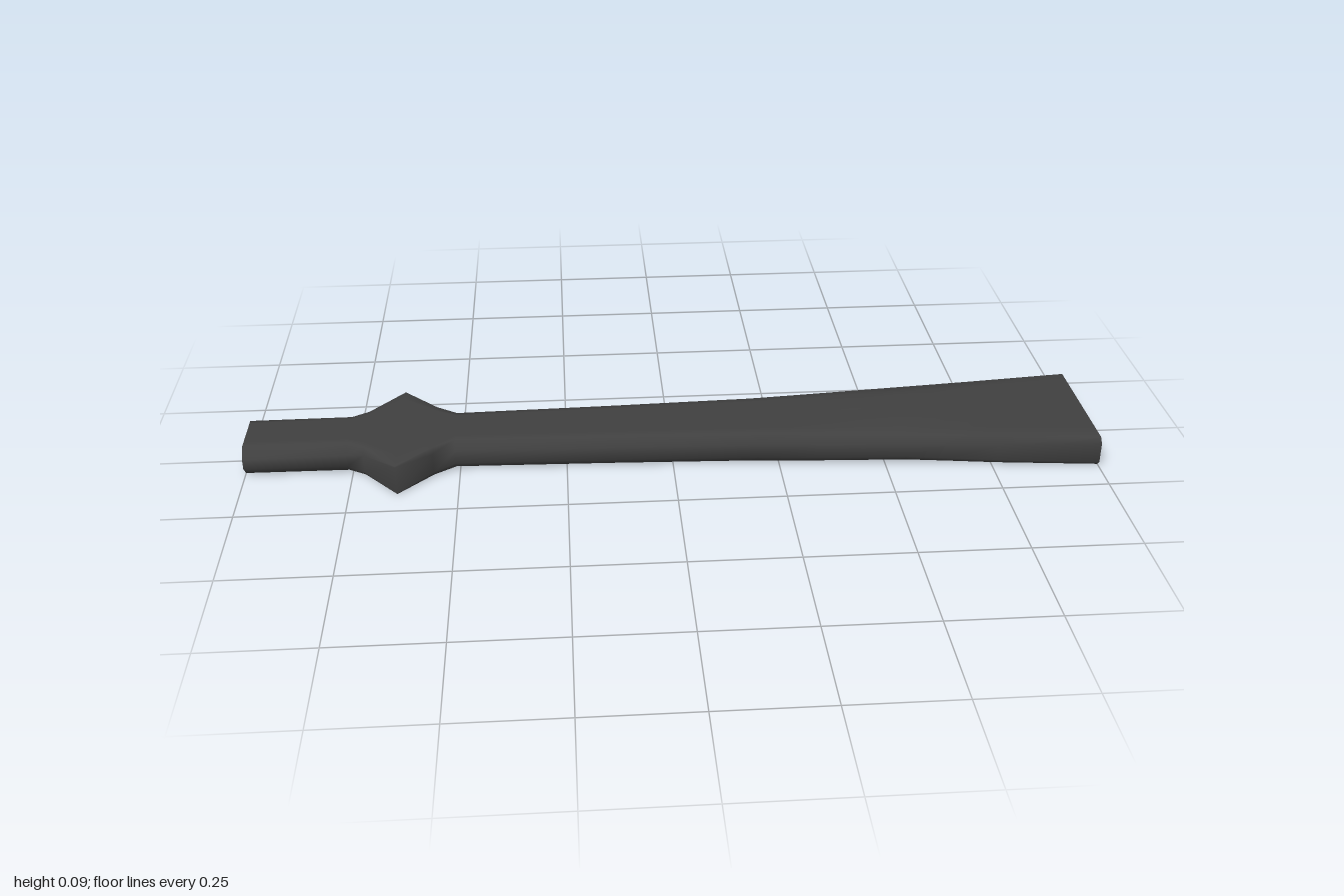
import * as THREE from 'three';

// Stations along the length: x, half width, edge chamfer, ridge strength
const STATIONS = [
  [-1, 0.084, 0.024, 0],
  [-0.76, 0.084, 0.022, 0],
  [-0.72, 0.1, 0.014, 0],
  [-0.64, 0.182, 0.002, 0],
  [-0.56, 0.11, 0.012, 0],
  [-0.51, 0.084, 0.02, 0],
  [-0.15, 0.094, 0.02, 0],
  [0.2, 0.107, 0.02, 0],
  [0.34, 0.118, 0.019, 0.15],
  [0.45, 0.127, 0.018, 0.6],
  [0.55, 0.135, 0.017, 1],
  [0.65, 0.143, 0.016, 0.6],
  [0.76, 0.152, 0.015, 0.1],
  [1, 0.173, 0.012, 0],
];
const HEIGHT = 0.073;
const Z_CENTRE = -0.003;

// Columns across the top: fraction of half width, rise at full ridge
const TOP = [[0.7, 0.003], [0.34, 0.012], [-0.12, 0.004], [-0.48, 0.012], [-0.8, 0.002]];

// Chamfered cross-section, running clockwise as seen from +x
function section([x, w, c, ridge]) {
  const base = 0.006 * ridge;
  const ring = [[w, base + c], [w, HEIGHT - c], [w - c, HEIGHT]];
  for (const [f, rise] of TOP) ring.push([f * (w - c), HEIGHT + rise * ridge]);
  ring.push([c - w, HEIGHT], [-w, HEIGHT - c], [-w, base + c], [c - w, base], [w - c, base]);
  return ring.map(([z, y]) => [x, y, z + Z_CENTRE]);
}

function geometryFrom(points, index) {
  const geometry = new THREE.BufferGeometry();
  geometry.setAttribute('position', new THREE.Float32BufferAttribute(points.flat(), 3));
  geometry.setIndex(index);
  geometry.computeVertexNormals();
  return geometry;
}

// Closed skin through all rings
function loft(rings) {
  const n = rings[0].length;
  const index = [];
  for (let i = 0; i < rings.length - 1; i++) {
    for (let j = 0; j < n; j++) {
      const k = (j + 1) % n;
      const a = i * n + j, b = a + n, c = (i + 1) * n + k, d = i * n + k;
      index.push(a, b, c, a, c, d);
    }
  }
  return geometryFrom(rings.flat(), index);
}

// Flat end face
function cap(ring, facesPlusX) {
  const index = [];
  for (let k = 1; k < ring.length - 1; k++) {
    index.push(0, facesPlusX ? k + 1 : k, facesPlusX ? k : k + 1);
  }
  return geometryFrom(ring, index);
}

export function createModel() {
  const group = new THREE.Group();
  group.name = 'flaredBlade';
  const material = new THREE.MeshStandardMaterial({ color: 0x404040 });
  const rings = STATIONS.map(section);
  const add = (name, geometry) => {
    const mesh = new THREE.Mesh(geometry, material);
    mesh.name = name;
    group.add(mesh);
  };
  add('gripGuardAndBlade', loft(rings));
  add('gripEnd', cap(rings[0], false));
  add('bladeEnd', cap(rings[rings.length - 1], true));
  return group;
}
